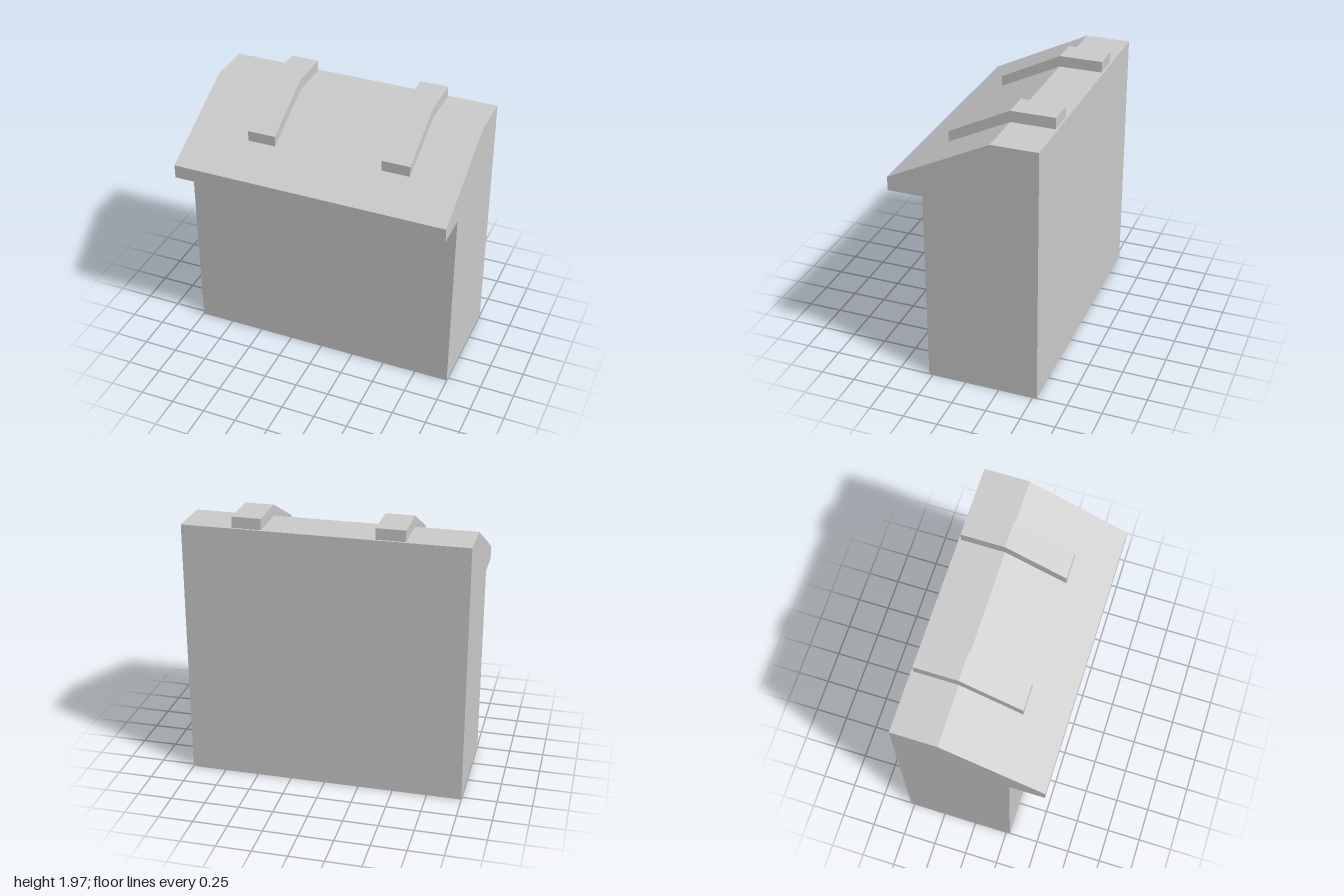
import * as THREE from 'three';

const grey = new THREE.MeshStandardMaterial({ color: 0xcccccc });
grey.name = 'light grey';

// Extrudes a side profile of [z, y] points across the span x0..x1
function sidePrism(name, profile, x0, x1) {
  const shape = new THREE.Shape(profile.map(([z, y]) => new THREE.Vector2(z, y)));
  const geometry = new THREE.ExtrudeGeometry(shape, { depth: x1 - x0, bevelEnabled: false });
  geometry.rotateY(-Math.PI / 2).translate(x1, 0, 0);
  const mesh = new THREE.Mesh(geometry, grey);
  mesh.name = name;
  return mesh;
}

export function createModel() {
  const model = new THREE.Group();
  model.name = 'pouch';

  // Body with the overhanging sloped flap
  model.add(sidePrism('body', [
    [-0.53, 0], [0.28, 0], [0.28, 1.43], [0.53, 1.43],
    [0.53, 1.53], [-0.2, 1.89], [-0.53, 1.89],
  ], -1, 1));

  // Straps bent over the top and down the slope
  const strap = [
    [-0.515, 1.89], [-0.2, 1.89], [0.24, 1.673],
    [0.24, 1.75], [-0.2, 1.97], [-0.515, 1.97],
  ];
  model.add(sidePrism('rightStrap', strap, -0.56, -0.355));
  model.add(sidePrism('leftStrap', strap, 0.435, 0.64));

  return model;
}
